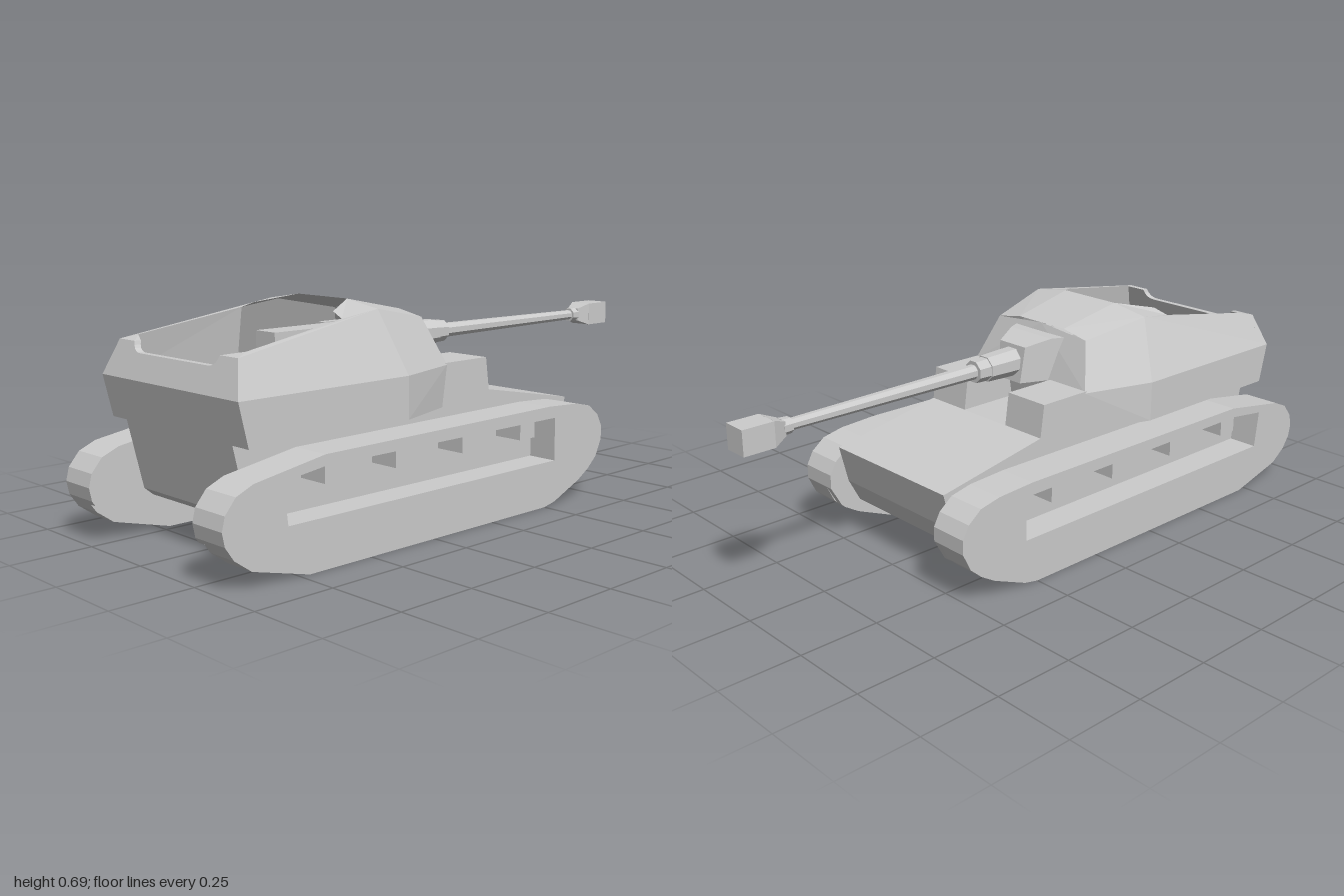
import * as THREE from 'three';

const mat = new THREE.MeshStandardMaterial({ color: 0xcccccc, flatShading: true });
const sheet = new THREE.MeshStandardMaterial({ color: 0xcccccc, flatShading: true, side: THREE.DoubleSide });

const toShape = (pts) => new THREE.Shape(pts.map(([a, b]) => new THREE.Vector2(a, b)));

// Extrudes a side profile of [z, y] points from x0 to x1
function sideExtrude(pts, x0, x1, hole) {
  const shape = toShape(pts);
  if (hole) shape.holes.push(toShape(hole));
  const geo = new THREE.ExtrudeGeometry(shape, { depth: x1 - x0, bevelEnabled: false });
  return geo.rotateY(-Math.PI / 2).translate(x1, 0, 0);
}

// Four-sided panels, each also mirrored across x = 0
function panels(quads) {
  const pos = [];
  for (const [a, b, c, d] of quads) {
    pos.push(...[a, b, c, a, c, d].flat());
    pos.push(...[a, c, b, a, d, c].flatMap(([x, y, z]) => [-x, y, z]));
  }
  const geo = new THREE.BufferGeometry();
  geo.setAttribute('position', new THREE.Float32BufferAttribute(pos, 3));
  geo.computeVertexNormals();
  return geo;
}

export function createModel() {
  const model = new THREE.Group();
  const add = (name, geo, material = mat) => {
    const mesh = new THREE.Mesh(geo, material);
    mesh.name = name;
    model.add(mesh);
    return mesh;
  };
  const box = (name, x0, x1, y0, y1, z0, z1) =>
    add(name, new THREE.BoxGeometry(x1 - x0, y1 - y0, z1 - z0)
      .translate((x0 + x1) / 2, (y0 + y1) / 2, (z0 + z1) / 2));

  // Hull
  add('hull', sideExtrude([
    [0.87, 0.352], [0.82, 0.14], [0.79, 0.115], [-0.43, 0.115], [-0.47, 0.19],
    [-0.5, 0.31], [-0.12, 0.38], [0.1, 0.38], [0.1, 0.352],
  ], -0.25, 0.25));

  // Tracks with a recessed side opening and hanging brackets
  const track = [
    [0.72, 0], [0.91, 0.05], [0.965, 0.09], [0.992, 0.13], [1, 0.17], [0.99, 0.21],
    [0.955, 0.252], [0.9, 0.276], [0.66, 0.315], [-0.27, 0.322], [-0.4, 0.315], [-0.47, 0.3],
    [-0.515, 0.265], [-0.537, 0.225], [-0.537, 0.18], [-0.51, 0.125], [-0.47, 0.09],
    [-0.42, 0.06], [-0.3, 0.01], [-0.25, 0],
  ];
  const recess = [[0.79, 0.145], [0.805, 0.265], [0.665, 0.283]];
  for (const z of [0.63, 0.37, 0.1, -0.16]) {
    recess.push([z + 0.034, 0.283], [z + 0.034, 0.235], [z - 0.034, 0.235], [z - 0.034, 0.283]);
  }
  recess.push([-0.295, 0.283], [-0.295, 0.145]);
  const inner = [
    [0.982, 0.115], ...track.slice(3, 15), [-0.5, 0.115],
  ];
  for (const [side, s] of [['left', 1], ['right', -1]]) {
    const span = (a, b) => (s > 0 ? [a, b] : [-b, -a]);
    add(side + 'Track', sideExtrude(track, ...span(0.275, 0.375), recess));
    add(side + 'TrackInnerPlate', sideExtrude(inner, ...span(0.25, 0.276)));
    // Stowage block beside the gun
    add(side + 'FrontBlock', sideExtrude(
      [[0.12, 0.36], [-0.122, 0.36], [-0.105, 0.483], [0.12, 0.483]], ...span(0.095, 0.25)));
  }

  // Casemate shell: rows of points from rear corner round to front centre
  const low = [[0.32, 0.35, 0.87], [0.32, 0.35, 0.3], [0.25, 0.35, 0.09], [0, 0.35, 0.09]];
  const mid = [[0.32, 0.477, 0.9], [0.32, 0.477, 0.3], [0.25, 0.477, 0.07], [0, 0.477, 0.07]];
  const top = [[0.277, 0.58, 0.865], [0.24, 0.665, 0.345], [0.195, 0.622, 0.125], [0, 0.64, 0.125]];
  const shell = [];
  for (let i = 0; i < 3; i++) {
    shell.push([low[i], low[i + 1], mid[i + 1], mid[i]], [mid[i], mid[i + 1], top[i + 1], top[i]]);
  }
  // Lower rear plate and underside
  shell.push([[0, 0.35, 0.87], low[0], mid[0], [0, 0.477, 0.9]]);
  shell.push([[0, 0.35, 0.87], [0, 0.35, 0.3], low[1], low[0]]);
  shell.push([[0, 0.35, 0.3], low[3], low[2], low[1]]);
  add('casemateWalls', panels(shell), sheet);

  // Roof over the gun and the rim round the open top
  const ridge = [0.11, 0.685, 0.345], brow = [0.1, 0.64, 0.125];
  const r1 = [0.18, 0.662, 0.46], r2 = [0.228, 0.645, 0.47], r3 = [0.252, 0.59, 0.82], r4 = [0.2, 0.58, 0.845];
  const f2 = [0.255, 0.47, 0.47], f3 = [0.275, 0.47, 0.86];
  add('casemateRoof', panels([
    [[0, 0.64, 0.125], [0, 0.685, 0.345], ridge, brow],
    [brow, ridge, top[1], top[2]],
    [ridge, r1, r2, top[1]],
    [top[1], r2, r3, top[0]],
    [r3, r4, [0.2, 0.58, 0.865], top[0]],
    [r2, f2, f3, r3],
  ]), sheet);

  // Sloped upper rear plate with a rounded cut-out
  const rear = toShape([[-0.32, 0.477], [0.32, 0.477], [0.277, 0.58], [0.2, 0.58]]);
  rear.quadraticCurveTo(0.192, 0.55, 0.16, 0.55);
  rear.lineTo(-0.16, 0.55);
  rear.quadraticCurveTo(-0.192, 0.55, -0.2, 0.58);
  rear.lineTo(-0.277, 0.58);
  const rearGeo = new THREE.ExtrudeGeometry(rear, { depth: 0.02, bevelEnabled: false, curveSegments: 5 });
  const p = rearGeo.attributes.position;
  for (let i = 0; i < p.count; i++) p.setZ(i, p.getZ(i) + 0.88 - (p.getY(i) - 0.477) * 0.34);
  rearGeo.computeVertexNormals();
  add('casemateRearPlate', rearGeo);

  // Fighting compartment: floor and side shelves round a central channel
  box('compartmentFloor', -0.24, 0.24, 0.36, 0.39, 0.11, 0.86);
  for (const s of [1, -1]) {
    const shelf = toShape([[0.06, -0.46], [0.25, -0.46], [0.26, -0.865], [0.09, -0.865],
      [0.09, -0.78], [0.075, -0.78], [0.075, -0.73], [0.06, -0.73]].map(([x, z]) => [s * x, z]));
    add((s > 0 ? 'left' : 'right') + 'Shelf',
      new THREE.ExtrudeGeometry(shelf, { depth: 0.08, bevelEnabled: false })
        .rotateX(-Math.PI / 2).translate(0, 0.39, 0));
    box((s > 0 ? 'left' : 'right') + 'MountCheek', s * 0.06 - 0.012, s * 0.06 + 0.012, 0.45, 0.6, 0.1, 0.3);
  }
  box('gunBreech', -0.043, 0.043, 0.46, 0.598, 0.1, 0.56);

  // Gun mantlet, narrowing towards the barrel
  const mantlet = add('mantlet', sideExtrude(
    [[0.1, 0.48], [-0.015, 0.48], [0, 0.595], [0.08, 0.615], [0.12, 0.615]], -0.1, 0.1));
  const m = mantlet.geometry.attributes.position;
  for (let i = 0; i < m.count; i++) {
    m.setX(i, m.getX(i) * THREE.MathUtils.mapLinear(m.getZ(i), -0.015, 0.1, 0.5, 1));
  }
  mantlet.geometry.computeVertexNormals();

  // Barrel parts lie along z; r0 is the radius at z0, the rearward end
  const tube = (name, z0, z1, r0, r1, sides) => add(name,
    new THREE.CylinderGeometry(r1, r0, z0 - z1, sides).rotateY(Math.PI / sides)
      .rotateX(-Math.PI / 2).translate(0, 0.54, (z0 + z1) / 2));
  tube('barrelSleeve', 0.02, -0.12, 0.047, 0.042, 8);
  tube('barrelSleeveFront', -0.12, -0.165, 0.038, 0.036, 8);
  tube('barrel', -0.16, -0.85, 0.024, 0.017, 8);
  tube('muzzleCollar', -0.83, -0.86, 0.024, 0.026, 8);
  tube('muzzleBrakeTaper', -0.855, -0.9, 0.03, 0.054, 4);
  box('muzzleBrake', -0.039, 0.039, 0.502, 0.578, -1, -0.9);

  return model;
}
